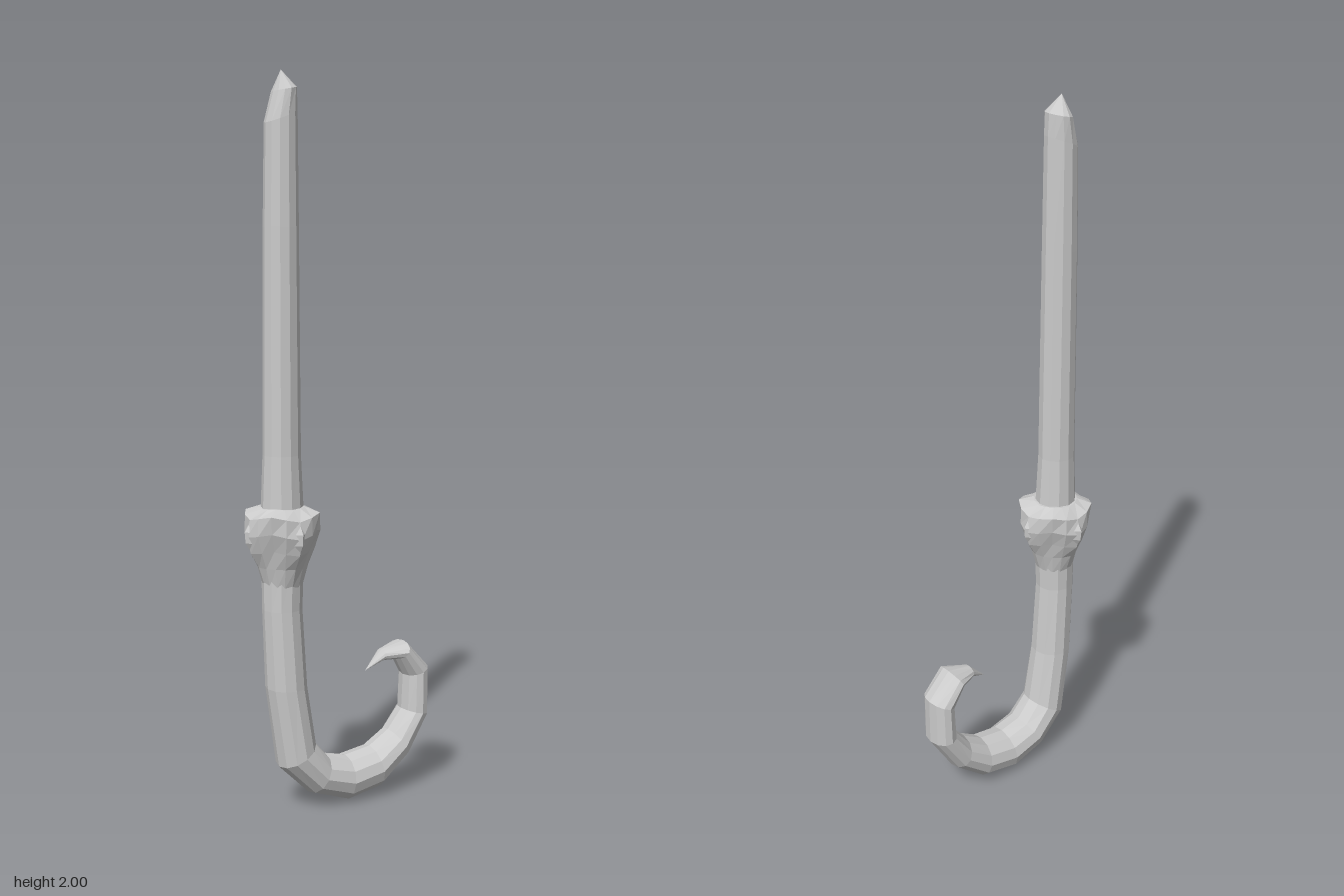
import * as THREE from 'three';

// Joins rings of points into a flat-shaded skin; a ring shrunk to a point closes an end.
function loft(name, rings) {
  const pos = [], index = [], n = rings[0].length;
  rings.forEach(r => r.forEach(p => pos.push(...p)));
  for (let j = 0; j < rings.length - 1; j++) {
    for (let i = 0; i < n; i++) {
      const k = (i + 1) % n, a = j * n, b = a + n;
      index.push(a + i, a + k, b + k, a + i, b + k, b + i);
    }
  }
  const geo = new THREE.BufferGeometry();
  geo.setAttribute('position', new THREE.Float32BufferAttribute(pos, 3));
  geo.setIndex(index);
  geo.computeVertexNormals();
  const mesh = new THREE.Mesh(geo, new THREE.MeshStandardMaterial({ color: 0xcccccc, flatShading: true }));
  mesh.name = name;
  return mesh;
}

// Elliptical ring spanning two points in the xy plane, with half-depth d in z.
function ring([x0, y0, x1, y1, d], sides = 12) {
  return Array.from({ length: sides }, (_, i) => {
    const a = i / sides * Math.PI * 2, c = Math.cos(a);
    return [(x0 + x1 + (x1 - x0) * c) / 2, (y0 + y1 + (y1 - y0) * c) / 2, d * Math.sin(a)];
  });
}

export function createModel() {
  const group = new THREE.Group();
  const cx = -0.177;

  // Long shaft with a slanted point: left x, y, right x, y, half-depth
  group.add(loft('shaft', [
    [-0.175, 2, -0.175, 2, 0],
    [-0.197, 1.945, -0.135, 1.957, 0.042],
    [-0.22, 1.865, -0.132, 1.9, 0.044],
    [-0.225, 1.6, -0.13, 1.6, 0.047],
    [-0.23, 1, -0.127, 1, 0.051],
    [-0.236, 0.85, -0.12, 0.85, 0.057],
    [-0.236, 0.8, -0.12, 0.8, 0.057],
  ].map(r => ring(r))));

  // Hooked handle: outer x, y, inner x, y, half-depth
  group.add(loft('hookHandle', [
    [-0.177, 0.72, -0.177, 0.72, 0],
    [-0.235, 0.7, -0.12, 0.7, 0.056],
    [-0.234, 0.58, -0.125, 0.58, 0.055],
    [-0.225, 0.36, -0.112, 0.36, 0.06],
    [-0.192, 0.135, -0.087, 0.195, 0.066],
    [-0.1, 0.045, -0.045, 0.145, 0.069],
    [0.01, 0.005, 0.02, 0.13, 0.069],
    [0.12, 0.025, 0.1, 0.142, 0.067],
    [0.21, 0.1, 0.162, 0.18, 0.062],
    [0.283, 0.22, 0.207, 0.235, 0.057],
    [0.283, 0.36, 0.212, 0.335, 0.055],
    [0.213, 0.435, 0.185, 0.388, 0.053],
    [0.14, 0.42, 0.14, 0.388, 0.025],
    [0.085, 0.365, 0.085, 0.365, 0],
  ].map(r => ring(r))));

  // Flared collar: y and radius at the four petals, then at the four corners between
  const collar = [
    [0.86, 0.05, 0.86, 0.05],
    [0.858, 0.062, 0.862, 0.062],
    [0.832, 0.098, 0.848, 0.104],
    [0.785, 0.109, 0.8, 0.096],
    [0.74, 0.096, 0.75, 0.078],
    [0.7, 0.072, 0.7, 0.066],
    [0.645, 0.054, 0.645, 0.054],
  ];
  group.add(loft('collar', collar.map(([yp, rp, yc, rc]) =>
    Array.from({ length: 16 }, (_, i) => {
      const a = i / 16 * Math.PI * 2, t = (1 - Math.cos(4 * a)) / 2;
      const r = rp + (rc - rp) * t, y = yp + (yc - yp) * t;
      return [cx + r * Math.cos(a), y, r * Math.sin(a)];
    }))));

  // Narrow ridge hanging below each petal
  for (let k = 0; k < 4; k++) {
    const petal = loft('petalRidge', [
      [0.825, 0.098, 0], [0.8, 0.098, 0.018], [0.77, 0.096, 0.017], [0.7, 0.066, 0],
    ].map(([y, x, w]) => [[x + w * 0.9, y, 0], [x, y, w], [x - w, y, 0], [x, y, -w]]));
    petal.position.x = cx;
    petal.rotation.y = k * Math.PI / 2;
    group.add(petal);
  }
  return group;
}
